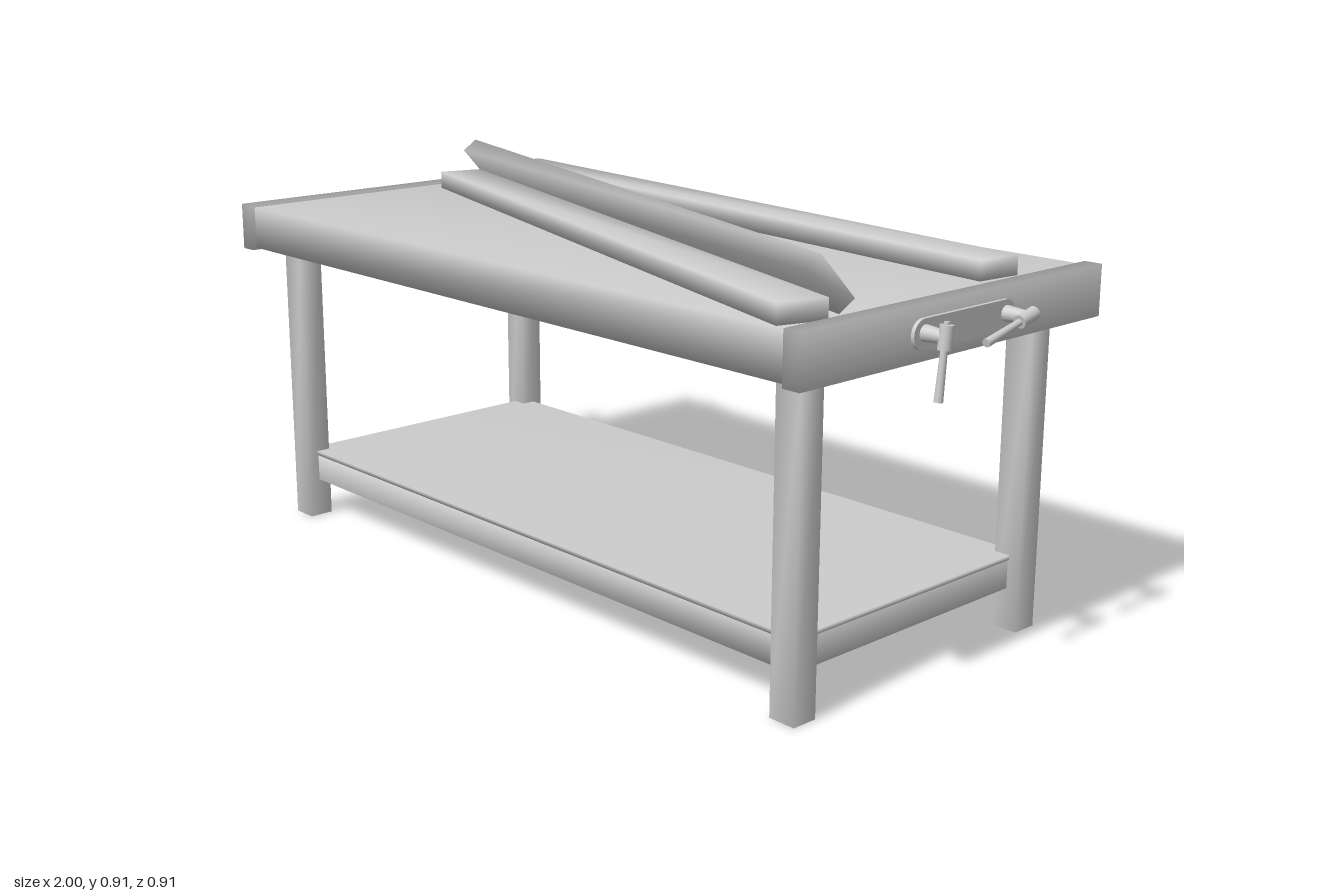
import * as THREE from 'three';
import { mergeVertices } from 'three/addons/utils/BufferGeometryUtils.js';

const material = new THREE.MeshStandardMaterial({ color: 0xcccccc });

function add(parent, name, geometry, x = 0, y = 0, z = 0) {
  const mesh = new THREE.Mesh(geometry, material);
  mesh.name = name;
  mesh.position.set(x, y, z);
  parent.add(mesh);
  return mesh;
}

// Box with shared corners, so its shading is soft
function softBox(w, h, d) {
  const box = new THREE.BoxGeometry(w, h, d);
  box.deleteAttribute('uv');
  box.deleteAttribute('normal');
  const soft = mergeVertices(box);
  soft.computeVertexNormals();
  return soft;
}

// Cylinder running from a to b
function rod(parent, name, a, b, rA, rB) {
  const dir = b.clone().sub(a);
  const mesh = add(parent, name, new THREE.CylinderGeometry(rB, rA, dir.length(), 16));
  mesh.position.copy(a).add(b).multiplyScalar(0.5);
  mesh.quaternion.setFromUnitVectors(new THREE.Vector3(0, 1, 0), dir.normalize());
  return mesh;
}

// Thin plate with round ends, lying against an end board
function plateGeometry(halfLength, radius, depth) {
  const shape = new THREE.Shape();
  const c = halfLength - radius;
  shape.absarc(c, 0, radius, -Math.PI / 2, Math.PI / 2);
  shape.absarc(-c, 0, radius, Math.PI / 2, Math.PI * 1.5);
  shape.closePath();
  const geometry = new THREE.ExtrudeGeometry(shape, { depth, bevelEnabled: false, curveSegments: 12 });
  return geometry.translate(0, 0, -depth / 2).rotateY(Math.PI / 2);
}

// Vice screw, sleeve and sliding lever; top and tip are [z, y]
function viceHandle(side, z, top, tip) {
  const group = new THREE.Group();
  group.name = 'viceHandle';
  const v = (x, y, zz) => new THREE.Vector3(side * x, y, zz);
  const x = 0.986, y = 0.742;
  rod(group, 'viceScrew', v(0.925, y, z), v(x, y, z), 0.018, 0.013);
  const a = v(x, top[1], top[0]), b = v(x, tip[1], tip[0]);
  const dir = b.clone().sub(a).normalize().multiplyScalar(0.024);
  const centre = v(x, y, z);
  rod(group, 'viceSleeve', centre.clone().sub(dir), centre.clone().add(dir), 0.014, 0.014);
  rod(group, 'viceLever', a, b, 0.006, 0.009);
  return group;
}

export function createModel() {
  const bench = new THREE.Group();
  bench.name = 'workbench';

  // Worktop and end boards
  add(bench, 'worktop', softBox(1.78, 0.1, 0.89), 0, 0.74, 0);
  for (const s of [-1, 1]) {
    add(bench, 'endBoard', softBox(0.042, 0.11, 0.91), s * 0.909, 0.74, 0);
    add(bench, 'vicePlate', plateGeometry(0.155, 0.031, 0.01), s * 0.933, 0.739, 0);
  }

  // Legs
  for (const sx of [-1, 1]) for (const sz of [-1, 1]) {
    add(bench, 'leg', softBox(0.064, 0.695, 0.06), sx * 0.833, 0.3475, sz * 0.348);
  }

  // Lower shelf on its rails
  add(bench, 'shelf', softBox(1.676, 0.01, 0.704), 0, 0.163, 0);
  for (const s of [-1, 1]) {
    add(bench, 'longRail', softBox(1.64, 0.066, 0.03), 0, 0.126, s * 0.335);
    add(bench, 'shortRail', softBox(0.03, 0.066, 0.67), s * 0.82, 0.126, 0);
  }

  // Vice handles: one hanging and one nearly level on each end
  bench.add(
    viceHandle(1, 0.123, [0.121, 0.772], [0.137, 0.621]),
    viceHandle(1, -0.125, [-0.153, 0.748], [0, 0.711]),
    viceHandle(-1, 0.123, [0.133, 0.772], [0.087, 0.625]),
    viceHandle(-1, -0.125, [-0.176, 0.752], [-0.03, 0.722]),
  );

  // Loose planks: one flat at the back, one flat in front with a third leaning on it
  const back = add(bench, 'backPlank', softBox(1.735, 0.042, 0.108), 0, 0.811, -0.287);
  back.rotation.y = -0.104;

  const pair = new THREE.Group();
  pair.name = 'frontPlanks';
  pair.position.set(0.02, 0, 0.048);
  pair.rotation.y = -0.298;
  bench.add(pair);
  add(pair, 'flatPlank', softBox(1.765, 0.042, 0.108), 0.028, 0.811, 0.073);
  const leaning = add(pair, 'leaningPlank', softBox(1.765, 0.042, 0.115), 0, 0.849, 0);
  leaning.rotation.x = -0.88;

  return bench;
}
